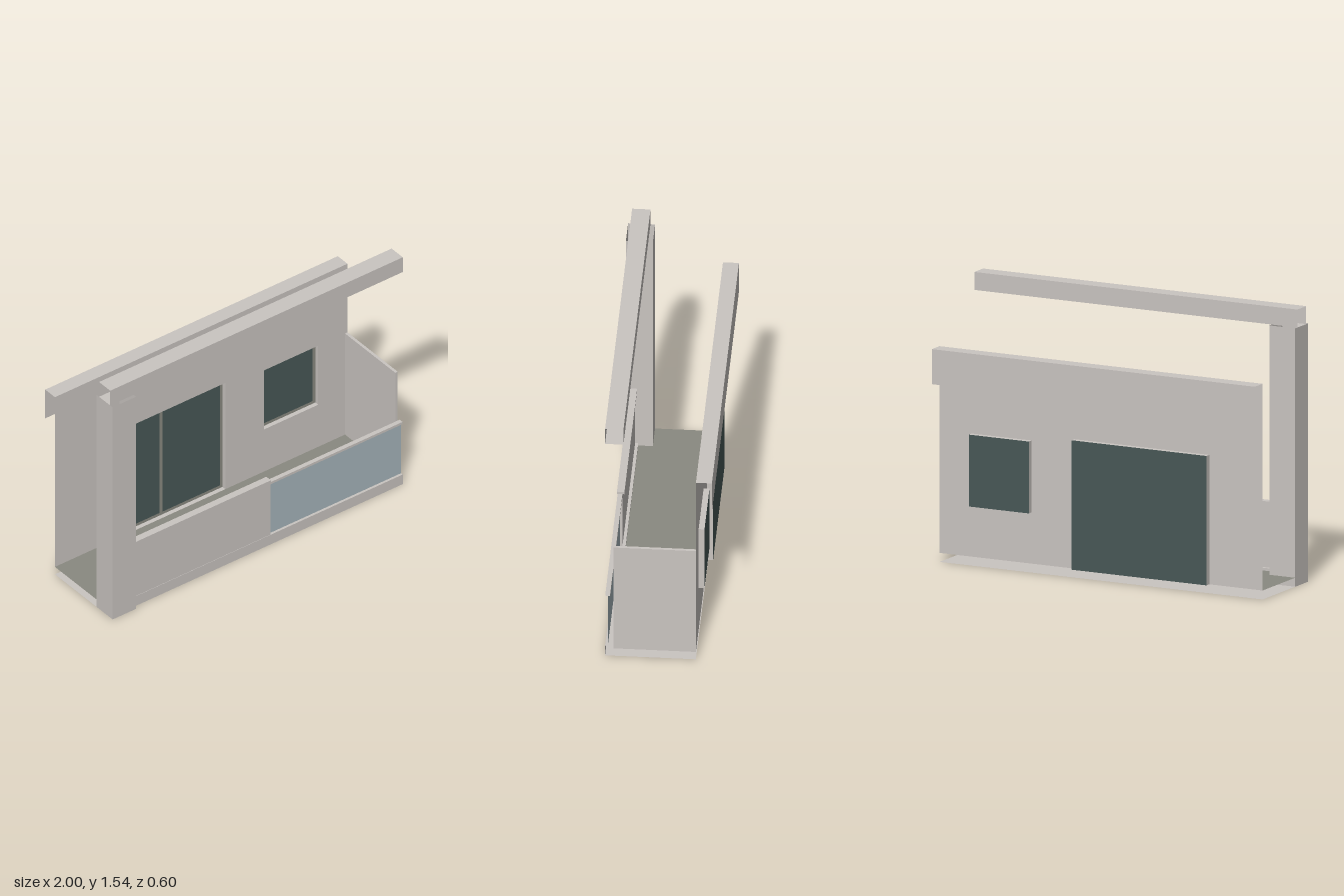
import * as THREE from 'three';

const mat = (name, color) => {
  const m = new THREE.MeshStandardMaterial({ color, side: THREE.DoubleSide });
  m.name = name;
  return m;
};

export function createModel() {
  const model = new THREE.Group();
  const plaster = mat('plaster', 0xcac5c1);
  const stone = mat('olive grey', 0x8a8a81);
  const darkGlass = mat('dark window glass', 0x485857);
  const paleGlass = mat('pale railing glass', 0xa6b5bb);

  const add = (name, geometry, material, parent = model) => {
    const mesh = new THREE.Mesh(geometry, material);
    mesh.name = name;
    parent.add(mesh);
    return mesh;
  };

  const box = (name, [x0, x1], [y0, y1], [z0, z1], material, parent) => {
    const g = new THREE.BoxGeometry(x1 - x0, y1 - y0, z1 - z0);
    g.translate((x0 + x1) / 2, (y0 + y1) / 2, (z0 + z1) / 2);
    return add(name, g, material, parent);
  };

  // Sweep an open or closed outline from a to b, leaving the ends open
  const sweep = (name, outline, a, b, place, material, parent) => {
    const pos = [];
    for (let i = 0; i < outline.length - 1; i++) {
      const [p, q] = [outline[i], outline[i + 1]];
      const [A, B, C, D] = [place(p, a), place(q, a), place(q, b), place(p, b)];
      pos.push(...A, ...B, ...C, ...A, ...C, ...D);
    }
    const g = new THREE.BufferGeometry();
    g.setAttribute('position', new THREE.Float32BufferAttribute(pos, 3));
    g.computeVertexNormals();
    return add(name, g, material, parent);
  };
  const alongX = ([z, y], x) => [x, y, z];
  const alongY = ([x, z], y) => [x, y, z];
  const alongZ = ([x, y], z) => [x, y, z];

  const rect = (x0, x1, y0, y1) => [[x0, y0], [x1, y0], [x1, y1], [x0, y1], [x0, y0]];
  const toPoints = (list) => list.map(([x, y]) => new THREE.Vector2(x, y));
  const plate = (name, outline, holes, z, material, parent) => {
    const shape = new THREE.Shape(toPoints(outline));
    holes.forEach((h) => shape.holes.push(new THREE.Path(toPoints(h))));
    const g = new THREE.ShapeGeometry(shape);
    g.translate(0, 0, z);
    return add(name, g, material, parent);
  };

  const wallZ = -0.215, glassZ = -0.247, floorY = 0.05;
  const door = [-0.67, 0.165, floorY, 0.77];
  const win = [0.43, 0.80, 0.335, 0.735];

  // Back wall, notched for the door and pierced for the window
  plate('backWall', [
    [-1, floorY], [door[0], floorY], [door[0], door[3]], [door[1], door[3]],
    [door[1], floorY], [1, floorY], [1, 1.2], [-1, 1.2],
  ], [rect(...win)], wallZ, plaster);

  // Overhanging band behind the wall top
  sweep('roofBand', [[wallZ, 1.2], [-0.302, 1.2], [-0.302, 1.005]], -1, 1, alongX, plaster);

  // Glazed openings with reveals and frames
  const glazing = (name, [x0, x1, y0, y1], bars) => {
    const group = new THREE.Group();
    group.name = name;
    model.add(group);
    sweep(name + 'Reveal', rect(x0, x1, y0, y1), glassZ, wallZ, alongZ, plaster, group);
    plate(name + 'Glass', rect(x0, x1, y0, y1), [], glassZ, darkGlass, group);
    const t = 0.018;
    const edges = [x0 + t, ...bars, x1 - t];
    const holes = [];
    for (let i = 0; i < edges.length; i += 2) {
      holes.push(rect(edges[i], edges[i + 1], y0 + t, y1 - t));
    }
    plate(name + 'Frame', rect(x0, x1, y0, y1), holes, glassZ + 0.006, stone, group);
  };
  glazing('slidingDoor', door, [-0.265, -0.245]);
  glazing('window', win, []);

  // Floor, underside and front curb
  sweep('floor', [[wallZ, floorY], [0.235, floorY]], -1, 1, alongX, stone);
  sweep('underside', [[wallZ, 0], [0.28, 0]], -1, 1, alongX, plaster);
  sweep('frontCurb', [[0.28, 0], [0.28, 0.065], [0.235, 0.065], [0.235, floorY]],
    -1, 1, alongX, plaster);

  // Corner pillar, open at the top, and the beam above it
  sweep('pillar', rect(-1, -0.84, 0.155, 0.302), 0, 1.437, alongY, plaster);
  sweep('pillarBase', [[0.155, 0], [0.302, 0]], -1, -0.84, alongX, plaster);
  sweep('topBeam', rect(0.18, 0.28, 1.437, 1.537), -1, 1, alongX, plaster);

  // Side screen
  box('sideScreen', [0.983, 1], [floorY, 0.735], [wallZ, 0.235], plaster);

  // Solid parapet with coping
  box('parapet', [-0.84, 0.097], [0.065, 0.42], [0.252, 0.278], plaster);
  box('parapetCoping', [-0.84, 0.097], [0.42, 0.435], [0.241, 0.282], plaster);

  // Glass railing with a slim handrail
  sweep('railingGlass', [[0.265, 0.065], [0.265, 0.405]], 0.097, 1, alongX, paleGlass);
  sweep('handrail', rect(0.252, 0.278, 0.405, 0.42), 0.097, 1, alongX, plaster);

  return model;
}
